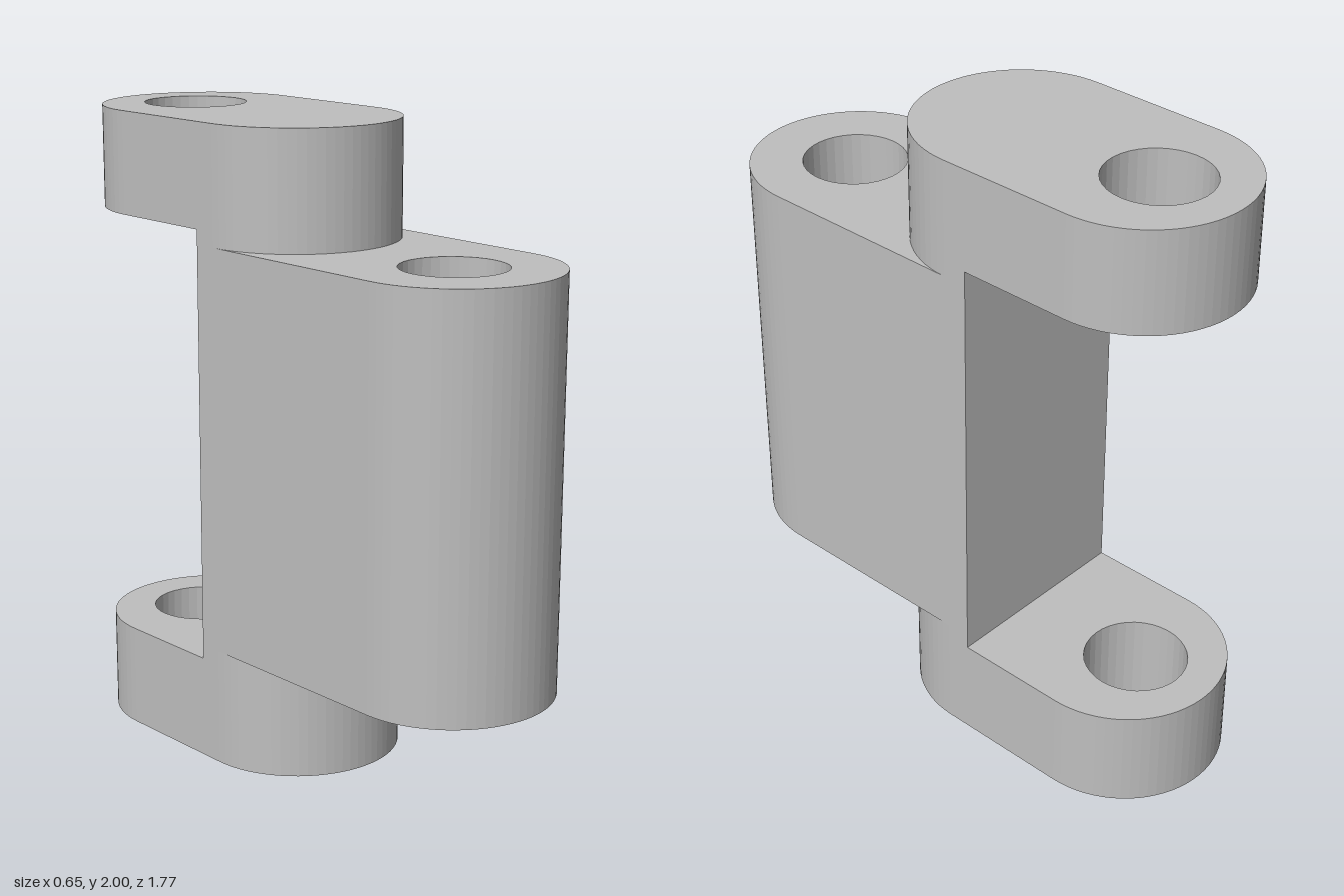
import * as THREE from 'three';

const R = 0.323; // half width and end radius
const HOLE = 0.161;

// Outline in plan (shape y = model z); each end is round or square
function outline(back, front, roundBack, roundFront, holeZ) {
  const s = new THREE.Shape();
  if (roundFront) s.absarc(0, front - R, R, 0, Math.PI, false);
  else s.moveTo(R, front).lineTo(-R, front);
  if (roundBack) s.absarc(0, back + R, R, Math.PI, Math.PI * 2, false);
  else s.lineTo(-R, back).lineTo(R, back);
  s.closePath();
  if (holeZ !== undefined) {
    const hole = new THREE.Path();
    hole.absarc(0, holeZ, HOLE, 0, Math.PI * 2, true);
    s.holes.push(hole);
  }
  return s;
}

export function createModel() {
  const model = new THREE.Group();
  const grey = new THREE.MeshStandardMaterial({ color: 0xbfbfbf });
  grey.name = 'plain grey';

  const slab = (name, shape, y0, y1) => {
    const geo = new THREE.ExtrudeGeometry(shape, { depth: y1 - y0, bevelEnabled: false, curveSegments: 18 });
    geo.rotateX(Math.PI / 2).translate(0, y1, 0);
    const mesh = new THREE.Mesh(geo, grey);
    mesh.name = name;
    model.add(mesh);
  };

  // Tall central block with the front pin hole
  slab('centralBlock', outline(-0.2, 0.883, false, true, 0.56), 0.37, 1.635);

  // Rear-reaching lugs, and the short necks joining them to the block
  const lug = outline(-0.883, 0.2, true, true, -0.61);
  const neck = outline(-0.2, 0.2, false, true);
  slab('upperLug', lug, 1.68, 2);
  slab('upperNeck', neck, 1.635, 1.68);
  slab('lowerNeck', neck, 0.325, 0.37);
  slab('lowerLug', lug, 0, 0.325);

  return model;
}
